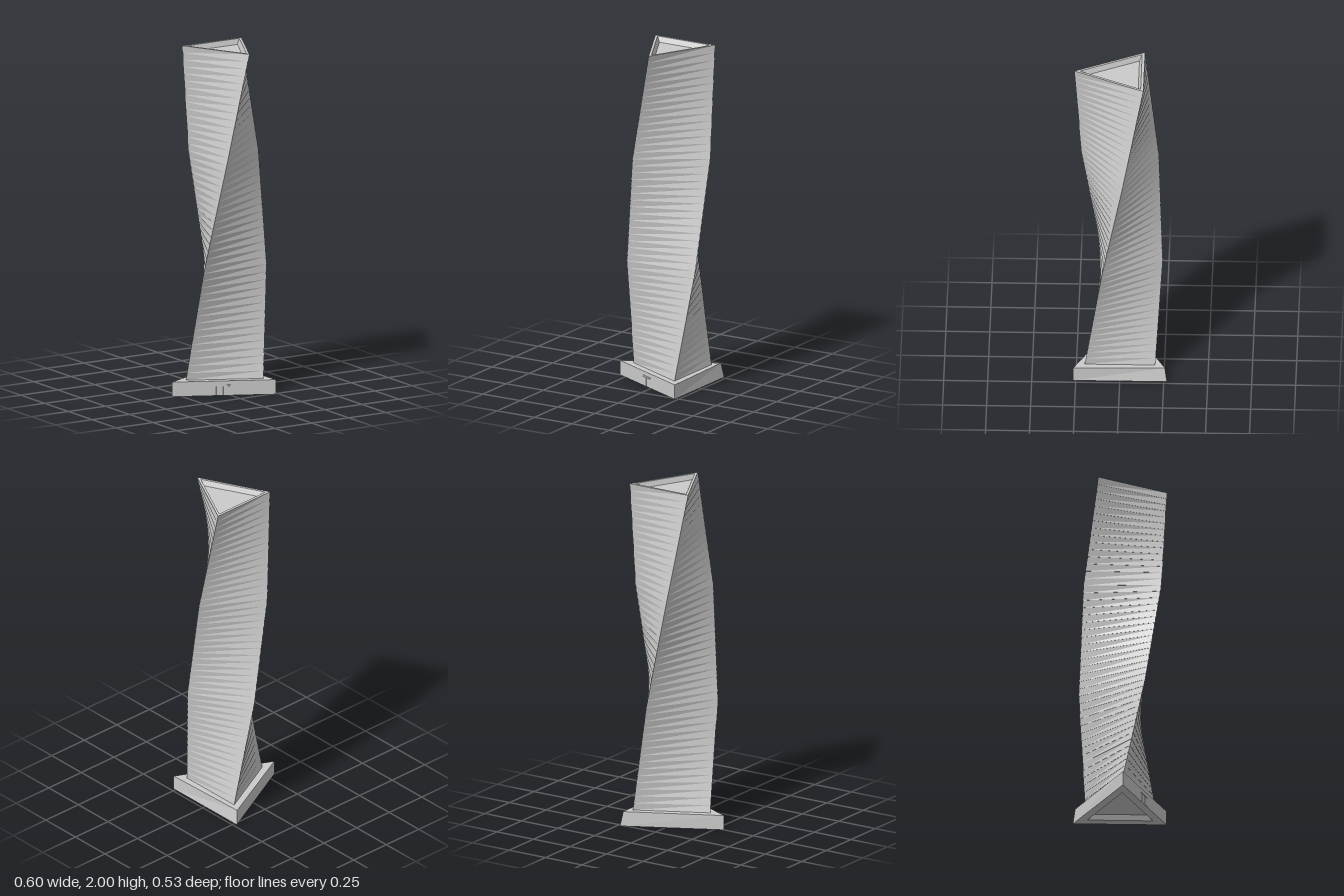
import * as THREE from 'three';

const material = new THREE.MeshStandardMaterial({ color: 0xcccccc, flatShading: true });
const CENTRE = 0.055, BASE_TOP = 0.085, HEIGHT = 2;

// Skin a stack of triangular rings (each three [x, y, z] corners) and cap both ends
function loft(name, rings) {
  const index = [];
  for (let r = 0; r < rings.length - 1; r++) {
    for (let i = 0; i < 3; i++) {
      const a = r * 3 + i, b = r * 3 + (i + 1) % 3;
      index.push(a, b, b + 3, a, b + 3, a + 3);
    }
  }
  const n = (rings.length - 1) * 3;
  index.push(0, 2, 1, n, n + 1, n + 2);
  const indexed = new THREE.BufferGeometry();
  indexed.setAttribute('position', new THREE.Float32BufferAttribute(rings.flat(2), 3));
  indexed.setIndex(index);
  const geometry = indexed.toNonIndexed();
  geometry.computeVertexNormals();
  const mesh = new THREE.Mesh(geometry, material);
  mesh.name = name;
  return mesh;
}

// Tower outline at t = 0..1: three 30 degree twists with straight corner edges
const plan = [[-0.262, 0], [0.135, 0.2], [0.135, -0.2]];
function section(t, y, scale = 1) {
  const step = Math.min(2, Math.floor(t * 3 + 1e-6)), f = t * 3 - step;
  const turn = ([x, z], k) => {
    const a = k * Math.PI / 6;
    return [x * Math.cos(a) + z * Math.sin(a), z * Math.cos(a) - x * Math.sin(a)];
  };
  return plan.map((p) => {
    const a = turn(p, step), b = turn(p, step + 1);
    return [CENTRE + scale * (a[0] + (b[0] - a[0]) * f), y, scale * (a[1] + (b[1] - a[1]) * f)];
  });
}

// Twisted shaft of shallow stepped floors, ending in a rimmed, sunken roof
function makeTower() {
  const floors = 45, rings = [];
  const yAt = (t) => BASE_TOP + (HEIGHT - BASE_TOP) * t;
  for (let i = 0; i < floors; i++) {
    const top = (i + 1) / floors;
    rings.push(section(i / floors, yAt(i / floors), 1.003));
    rings.push(section(top, yAt(top), i === floors - 1 ? 1 : 0.992));
  }
  rings.push(section(1, HEIGHT, 0.88), section(1, HEIGHT - 0.03, 0.77));
  return loft('twistedTower', rings);
}

// Triangular plinth with a recessed underside and one leaning corner
function makeBase() {
  const foot = [[-0.3, 0], [0.232, 0.265], [0.232, -0.268]];
  const upper = [[-0.3, 0], [0.232, 0.265], [0.218, -0.256]];
  const ring = (y, s, corners = foot) =>
    corners.map(([x, z]) => [CENTRE + (x - CENTRE) * s, y, z * s]);
  return loft('base', [ring(0.03, 0.62), ring(0, 0.7), ring(0, 1), ring(BASE_TOP, 1, upper)]);
}

// Pair of thin door leaves under a lintel on the front wall of the base
function makeEntrance() {
  const entrance = new THREE.Group();
  entrance.name = 'entrance';
  const add = (name, w, h, x, y) => {
    const mesh = new THREE.Mesh(new THREE.BoxGeometry(w, h, 0.004), material);
    mesh.position.set(x, y, 0);
    mesh.name = name;
    entrance.add(mesh);
  };
  for (const side of [-1, 1]) add('doorLeaf', 0.036, 0.052, side * 0.02, 0.027);
  add('lintel', 0.084, 0.006, 0, 0.059);
  entrance.position.set(-0.04, 0, 0.13);
  entrance.rotation.y = -Math.atan2(0.265, 0.532);
  return entrance;
}

export function createModel() {
  const model = new THREE.Group();
  model.name = 'twistedTriangularTower';
  model.add(makeBase(), makeTower(), makeEntrance());
  return model;
}
